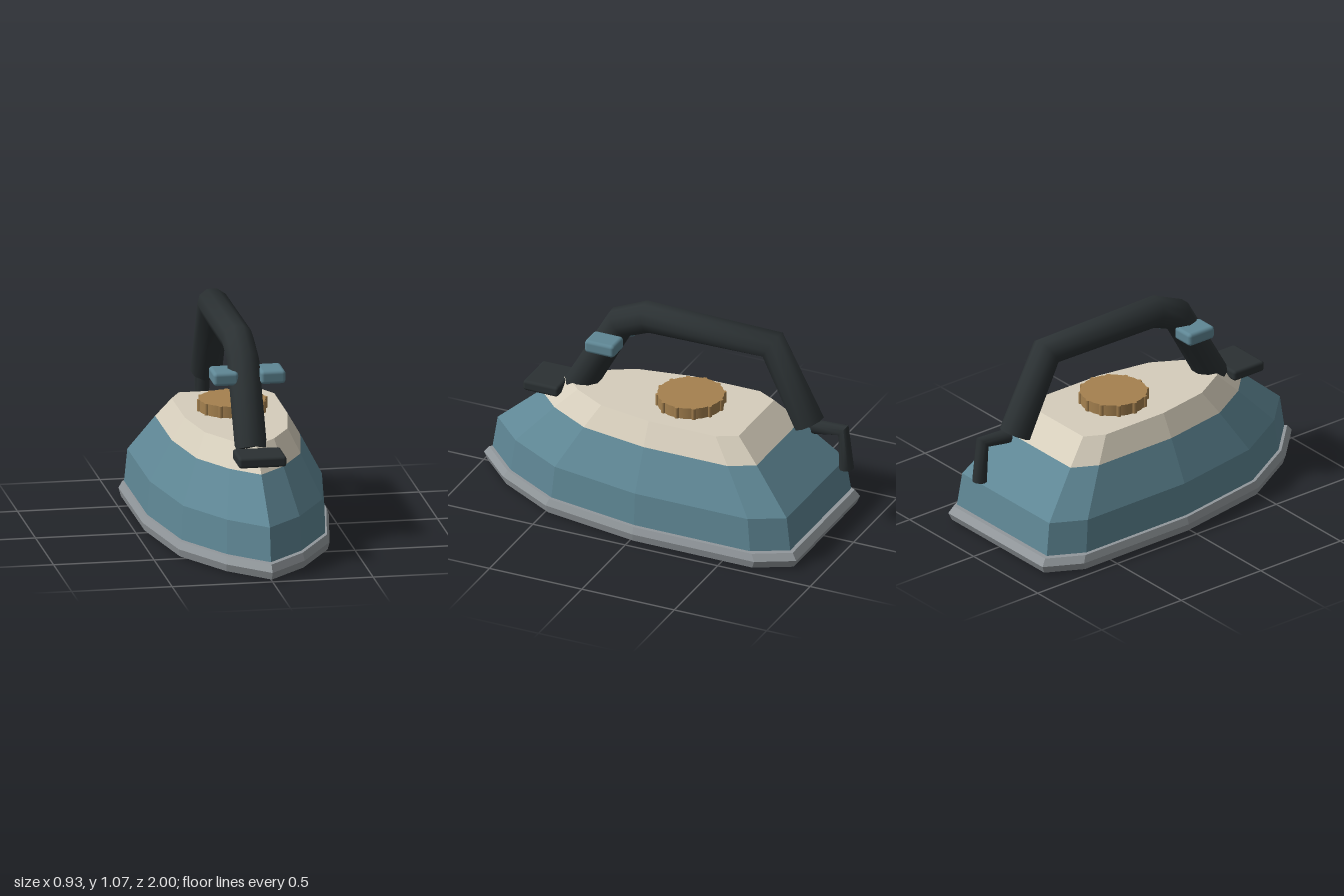
import * as THREE from 'three';
import { toCreasedNormals } from 'three/addons/utils/BufferGeometryUtils.js';
import { RoundedBoxGeometry } from 'three/addons/geometries/RoundedBoxGeometry.js';

const paint = (color, flatShading = false) => new THREE.MeshStandardMaterial({ color, flatShading });

// Closed skin over a list of rings, each running counterclockwise about the direction of travel.
function loft(rings) {
  const n = rings[0].length, last = (rings.length - 1) * n, index = [];
  for (let r = 0; r < last; r += n) {
    for (let i = 0; i < n; i++) {
      const a = r + i, b = r + (i + 1) % n;
      index.push(a, b, b + n, a, b + n, a + n);
    }
  }
  for (let i = 1; i < n - 1; i++) {
    index.push(0, i + 1, i, last, last + i, last + i + 1);
  }
  const geometry = new THREE.BufferGeometry().setFromPoints(rings.flat());
  geometry.setIndex(index);
  geometry.computeVertexNormals();
  return geometry;
}

// Half of the pointed hull outline as [x, z], from the tip to the back corner.
const half = [[0, 1], [0.195, 0.805], [0.375, 0.49], [0.463, -0.02], [0.465, -0.68], [0.368, -0.863]];
const outline = [...half, ...half.slice(1).reverse().map(([x, z]) => [-x, z])];

// Hull layer from [scale, height] levels.
const hull = (levels) => loft(levels.map(([s, y]) =>
  outline.map(([x, z]) => new THREE.Vector3(x * s, y, z * s))));

// Round bar with sharp bends through [y, z] points in the plane at x.
function bar(path, x, radius, sides) {
  const pts = path.map(([y, z]) => new THREE.Vector3(x, y, z));
  const across = new THREE.Vector3(1, 0, 0);
  const rings = pts.map((p, i) => {
    const dir = new THREE.Vector3();
    if (i > 0) dir.add(p.clone().sub(pts[i - 1]).normalize());
    if (i < pts.length - 1) dir.add(pts[i + 1].clone().sub(p).normalize());
    const up = dir.normalize().cross(across);
    return Array.from({ length: sides }, (_, k) => {
      const a = k / sides * Math.PI * 2;
      return p.clone().addScaledVector(across, radius * Math.cos(a)).addScaledVector(up, radius * Math.sin(a));
    });
  });
  return toCreasedNormals(loft(rings), 1.2);
}

export function createModel() {
  const model = new THREE.Group();
  const add = (name, geometry, material, x = 0, y = 0, z = 0, parent = model) => {
    const mesh = new THREE.Mesh(geometry, material);
    mesh.name = name;
    mesh.position.set(x, y, z);
    parent.add(mesh);
    return mesh;
  };

  const steel = paint(0x92989c, true);
  const blue = paint(0x5f8795, true);
  const cream = paint(0xd6cebc, true);
  const black = paint(0x2b3133);
  const brass = paint(0xa5814f);
  const dark = paint(0x1a1c1e);

  // Soleplate and the stepped body above it
  add('soleplate', hull([[0.98, 0.006], [1, 0.045], [0.972, 0.08]]), steel);
  add('lowerBody', hull([[0.953, 0.087], [0.925, 0.255], [0.69, 0.46]]), blue);
  add('upperBody', hull([[0.69, 0.46], [0.55, 0.572]]), cream);

  // Steam holes in three columns under the soleplate
  const holes = new THREE.Group();
  holes.name = 'steamHoles';
  model.add(holes);
  const holeGeometry = new THREE.CylinderGeometry(0.015, 0.015, 0.012, 10);
  for (const x of [-0.25, 0, 0.25]) {
    for (const z of [0.38, 0.18, -0.05, -0.28, -0.52, -0.71]) {
      add('steamHole', holeGeometry, dark, x, 0.006, z, holes);
    }
  }

  // Dial with grip ribs around its rim
  const dial = new THREE.Group();
  dial.name = 'dial';
  dial.position.set(0, 0.6, -0.12);
  model.add(dial);
  add('dialDisc', new THREE.CylinderGeometry(0.165, 0.165, 0.06, 24), brass, 0, 0, 0, dial);
  const ribGeometry = new THREE.CylinderGeometry(0.012, 0.012, 0.06, 8);
  for (let i = 0; i < 12; i++) {
    const a = i / 12 * Math.PI * 2;
    add('dialRib', ribGeometry, brass, 0.163 * Math.cos(a), 0, 0.163 * Math.sin(a), dial);
  }

  // Handle, its front foot and the cord at the back
  add('handle', bar([[0.53, 0.49], [0.93, 0.265], [0.992, 0.12], [0.992, -0.555], [0.602, -0.753]], -0.015, 0.08, 10), black);
  add('handleFoot', new RoundedBoxGeometry(0.238, 0.054, 0.19, 2, 0.015), black, 0, 0.532, 0.64);
  add('cord', bar([[0.597, -0.785], [0.612, -0.945], [0.405, -0.963]], 0, 0.037, 10), black);

  // Thumb buttons on both sides of the handle
  const buttonGeometry = new RoundedBoxGeometry(0.125, 0.068, 0.16, 2, 0.018);
  for (const side of [-1, 1]) {
    add(side > 0 ? 'leftButton' : 'rightButton', buttonGeometry, paint(0x5f8795), side * 0.117, 0.861, 0.295);
  }
  return model;
}
